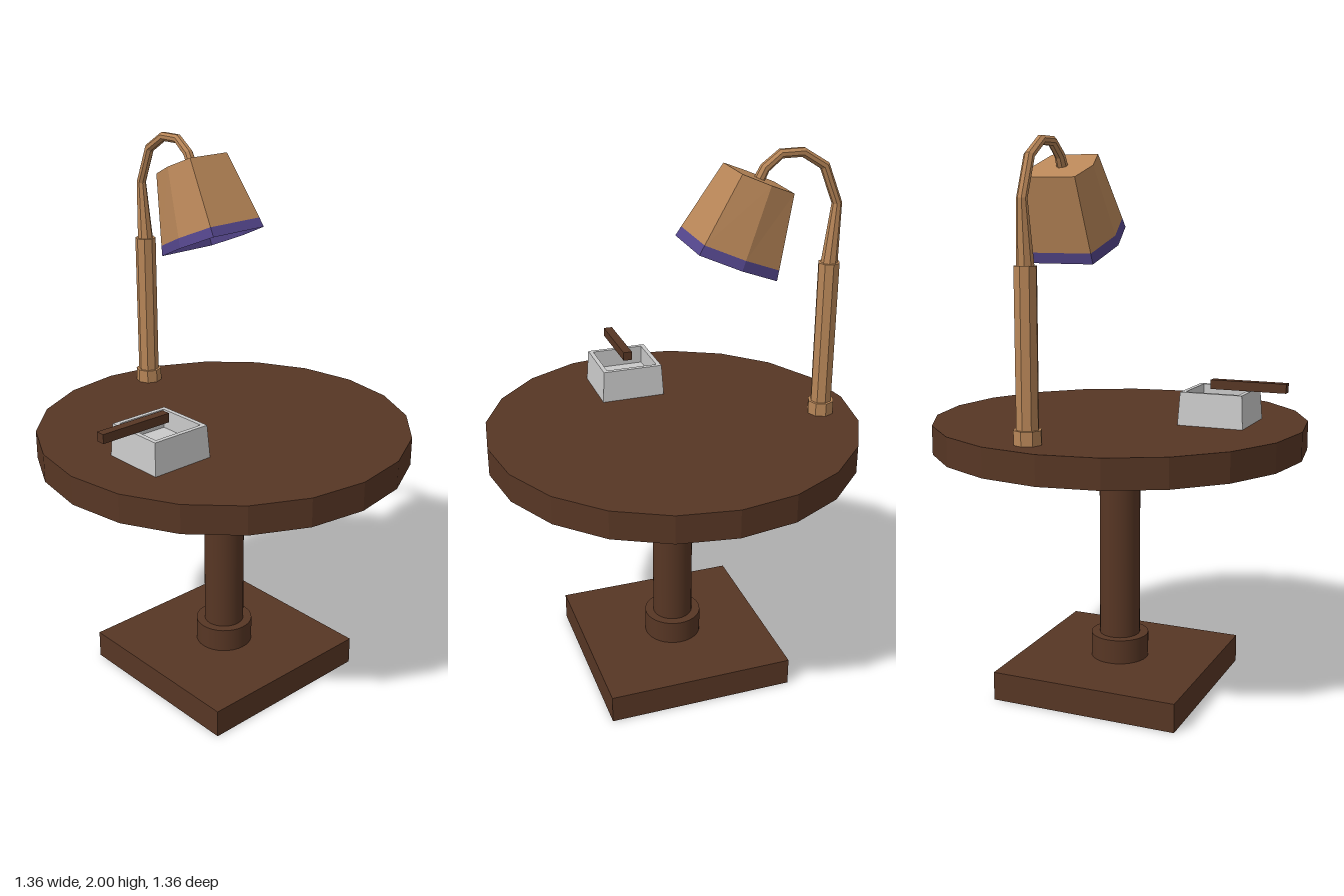
import * as THREE from 'three';

// Skin a list of equal-length rings (counter-clockwise about the direction of travel), flat shaded
function loft(rings, cap = false) {
  const pos = [];
  const tri = (...p) => p.forEach(v => pos.push(v.x, v.y, v.z));
  for (let r = 0; r < rings.length - 1; r++) {
    const a = rings[r], b = rings[r + 1], n = a.length;
    for (let i = 0; i < n; i++) {
      const j = (i + 1) % n;
      tri(a[i], a[j], b[j]);
      tri(a[i], b[j], b[i]);
    }
  }
  if (cap) {
    const e = rings[rings.length - 1];
    for (let i = 1; i < e.length - 1; i++) tri(e[0], e[i], e[i + 1]);
  }
  const g = new THREE.BufferGeometry();
  g.setAttribute('position', new THREE.Float32BufferAttribute(pos, 3));
  g.computeVertexNormals();
  return g;
}

const squareRing = (h, y) =>
  [[h, h], [h, -h], [-h, -h], [-h, h]].map(([x, z]) => new THREE.Vector3(x, y, z));

// Six-cornered ring: side points at w, corners at (c, d)
const shadeRing = (w, c, d, y) =>
  [[w, 0], [c, -d], [-c, -d], [-w, 0], [-c, d], [c, d]].map(([x, z]) => new THREE.Vector3(x, y, z));

const faceted = g => {
  const f = g.toNonIndexed();
  f.computeVertexNormals();
  return f;
};

export function createModel() {
  const model = new THREE.Group();
  model.name = 'tableWithLamp';

  const material = (name, color, side = THREE.FrontSide) => {
    const m = new THREE.MeshStandardMaterial({ color, side });
    m.name = name;
    return m;
  };
  const wood = material('darkWood', 0x573624);
  const tan = material('tanBrass', 0xb88658, THREE.DoubleSide);
  const violet = material('violetTrim', 0x53458a, THREE.DoubleSide);
  const grey = material('paleGrey', 0xcacaca);

  const add = (parent, name, geo, mat, x = 0, y = 0, z = 0) => {
    const m = new THREE.Mesh(geo, mat);
    m.name = name;
    m.position.set(x, y, z);
    parent.add(m);
    return m;
  };
  const group = (name, x, y, z) => {
    const g = new THREE.Group();
    g.name = name;
    g.position.set(x, y, z);
    model.add(g);
    return g;
  };

  // Table
  const table = group('table', 0, 0, 0);
  add(table, 'base', new THREE.BoxGeometry(0.7, 0.105, 0.7), wood, 0, 0.0525, 0);
  add(table, 'columnCollar', new THREE.CylinderGeometry(0.107, 0.107, 0.09, 32), wood, 0, 0.15, 0);
  add(table, 'column', new THREE.CylinderGeometry(0.075, 0.075, 0.74, 32), wood, 0, 0.55, 0);
  add(table, 'tabletop', faceted(new THREE.CylinderGeometry(0.68, 0.68, 0.104, 20)), wood, 0, 0.961, 0);

  // Lamp stem
  const lamp = group('lamp', 0.092, 0, -0.548);
  add(lamp, 'stemFoot', faceted(new THREE.CylinderGeometry(0.049, 0.049, 0.05, 8)), tan, 0, 1.037, 0);
  add(lamp, 'stem', faceted(new THREE.CylinderGeometry(0.039, 0.039, 0.55, 8)), tan, 0, 1.315, 0);

  // Bent, tapering arm: [y, z, radius] along its path
  const path = [
    [1.58, 0, 0.03], [1.8, -0.016, 0.018], [1.932, 0.038, 0.018], [1.983, 0.12, 0.017],
    [1.983, 0.2, 0.017], [1.94, 0.256, 0.018], [1.89, 0.282, 0.02],
  ];
  const X = new THREE.Vector3(1, 0, 0);
  const points = path.map(([y, z]) => new THREE.Vector3(0, y, z));
  const armRings = path.map(([, , r], i) => {
    const t = points[Math.min(i + 1, path.length - 1)].clone()
      .sub(points[Math.max(i - 1, 0)]).normalize();
    const n = t.clone().cross(X);
    return Array.from({ length: 8 }, (_, k) => {
      const a = (k + 0.5) * Math.PI / 4;
      return points[i].clone().addScaledVector(X, r * Math.cos(a)).addScaledVector(n, r * Math.sin(a));
    });
  });
  add(lamp, 'arm', loft(armRings, true), tan);

  // Tilted open shade with a coloured rim
  const shade = group('lampShade', 0.09, 1.643, -0.16);
  shade.rotation.x = -0.4;
  const low = shadeRing(0.152, 0.12, 0.151, 0);
  const mid = shadeRing(0.147, 0.116, 0.145, 0.036);
  const top = shadeRing(0.11, 0.086, 0.101, 0.287);
  add(shade, 'shadeRim', loft([low, mid]), violet);
  add(shade, 'shadeBody', loft([mid, top], true), tan);

  // Open square tray with a stick resting across it
  const tray = group('tray', -0.36, 1.013, 0.073);
  add(tray, 'trayBody', loft([
    squareRing(0.12, 0), squareRing(0.113, 0.118), squareRing(0.097, 0.118), squareRing(0.097, 0.05),
  ], true), grey);
  add(tray, 'stick', new THREE.BoxGeometry(0.276, 0.033, 0.033), wood, -0.107, 0.137, -0.005);

  return model;
}
